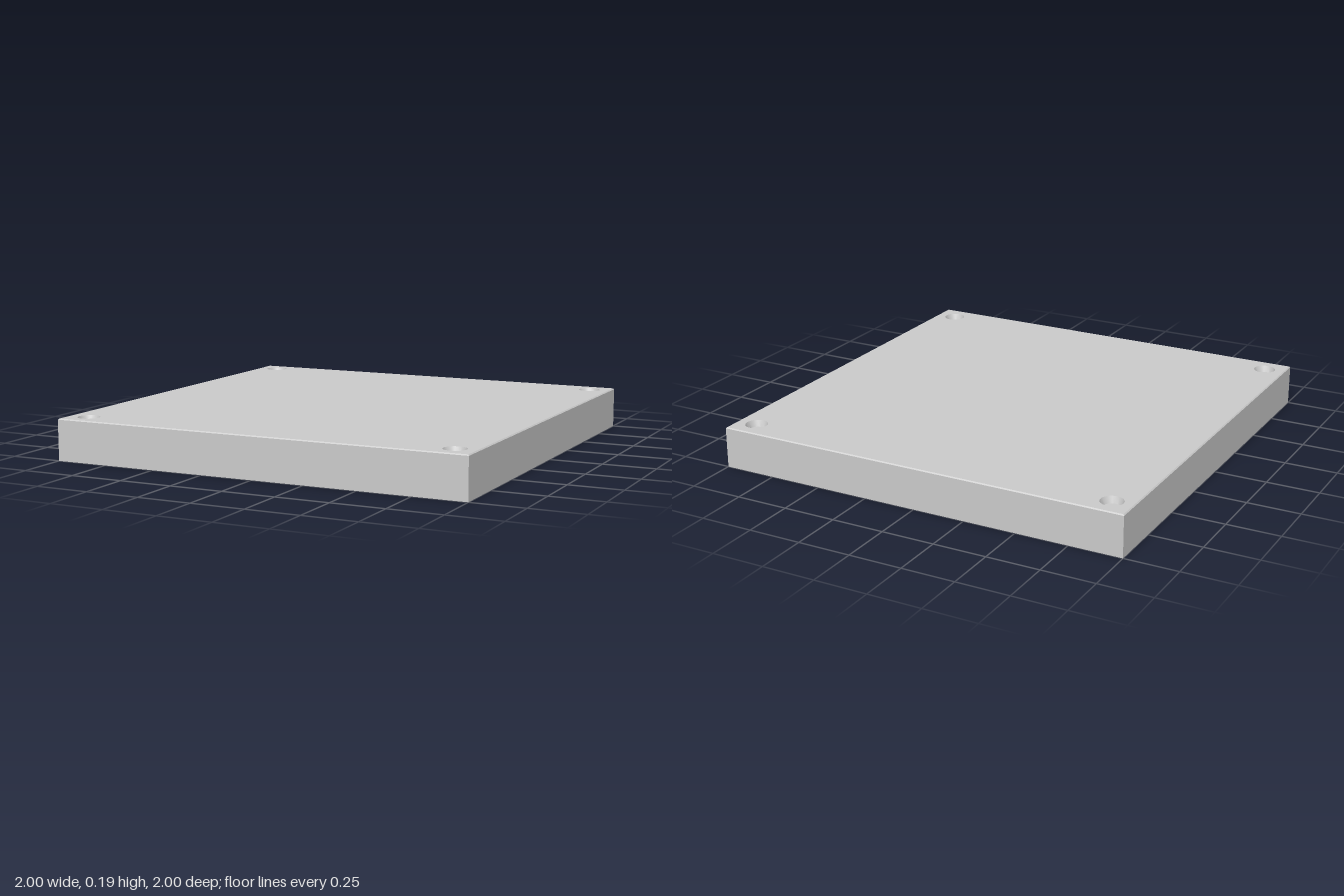
import * as THREE from 'three';
import { toCreasedNormals } from 'three/addons/utils/BufferGeometryUtils.js';

const HEIGHT = 0.195, BEVEL = 0.005, HOLE = 0.052, FLOOR = 0.041, DEPTH = 0.03, OFFSET = 0.9;
const SEGMENTS = 32;

const material = new THREE.MeshStandardMaterial({ color: 0xcccccc });

// Lathe with crisp edges from [radius, height] pairs
function lathe(profile, segments, phiStart = 0) {
  const points = profile.map(([r, y]) => new THREE.Vector2(r, y));
  return toCreasedNormals(new THREE.LatheGeometry(points, segments, phiStart), 0.5);
}

function addPart(group, name, geometry) {
  const mesh = new THREE.Mesh(geometry, material);
  mesh.name = name;
  group.add(mesh);
  return mesh;
}

export function createModel() {
  const model = new THREE.Group();
  model.name = 'squareSlab';

  // Underside, four walls and the fine bevel around the top
  const corner = Math.SQRT2, top = 1 - BEVEL;
  addPart(model, 'slabBody', lathe(
    [[0, 0], [corner, 0], [corner, HEIGHT - BEVEL], [top * corner, HEIGHT]], 4, Math.PI / 4));

  // Top face, pierced at the four corners
  const face = new THREE.Shape([[-1, -1], [1, -1], [1, 1], [-1, 1]]
    .map(([x, y]) => new THREE.Vector2(x * top, y * top)));
  const recess = lathe(
    [[HOLE, 0], [FLOOR, -DEPTH], [0, -DEPTH]], SEGMENTS);

  for (const x of [-OFFSET, OFFSET]) {
    for (const z of [-OFFSET, OFFSET]) {
      face.holes.push(new THREE.Path().absarc(x, -z, HOLE, 0, Math.PI * 2, true));
      // Shallow tapered recess with a flat floor
      addPart(model, 'cornerRecess', recess).position.set(x, HEIGHT, z);
    }
  }
  addPart(model, 'topFace', new THREE.ShapeGeometry(face, SEGMENTS / 2)
    .rotateX(-Math.PI / 2).translate(0, HEIGHT, 0));

  return model;
}
